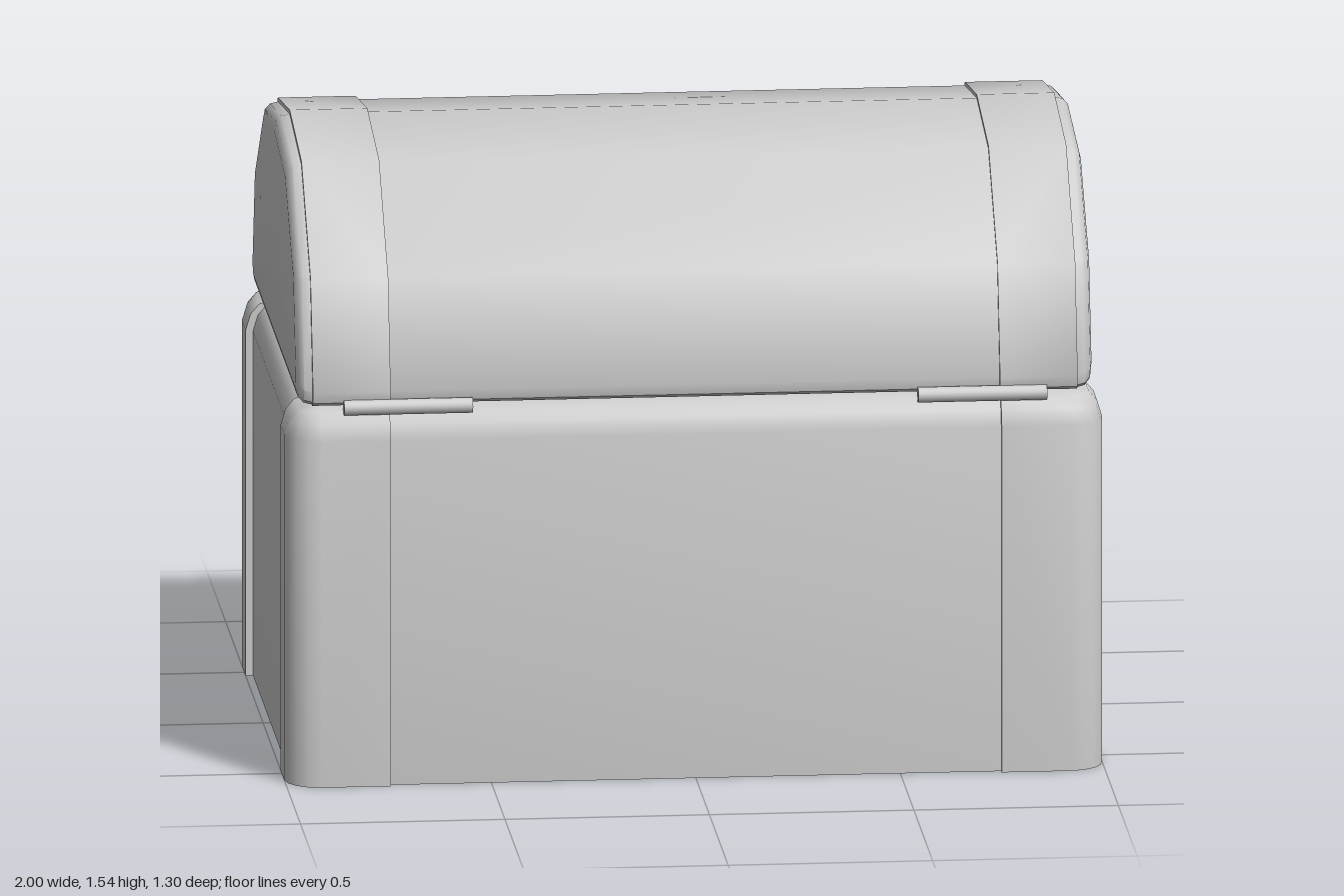
import * as THREE from 'three';
import { toCreasedNormals } from 'three/addons/utils/BufferGeometryUtils.js';

const gray = new THREE.MeshStandardMaterial({ color: 0xcccccc });
gray.name = 'plain gray';

// Closed solid through a row of matching convex rings
function loft(rings, crease = 0.75) {
  const tris = [];
  const n = rings[0].length;
  for (let r = 0; r < rings.length - 1; r++) {
    for (let i = 0; i < n; i++) {
      const j = (i + 1) % n;
      const [a, b, c, d] = [rings[r][i], rings[r][j], rings[r + 1][j], rings[r + 1][i]];
      tris.push([a, b, c], [a, c, d]);
    }
  }
  const cap = (ring, flip) => {
    const mid = ring.reduce((s, p) => s.add(p), new THREE.Vector3()).divideScalar(n);
    for (let i = 0; i < n; i++) {
      const a = ring[i], b = ring[(i + 1) % n];
      tris.push(flip ? [mid, b, a] : [mid, a, b]);
    }
  };
  cap(rings[0], true);
  cap(rings[rings.length - 1], false);
  // Turn the faces outward whichever way the rings run
  const volume = tris.reduce((s, [a, b, c]) => s + a.dot(b.clone().cross(c)), 0);
  const points = tris.flatMap(([a, b, c]) => (volume < 0 ? [a, c, b] : [a, b, c]));
  const geometry = new THREE.BufferGeometry().setFromPoints(points);
  return toCreasedNormals(geometry, crease);
}

// Quarter arc points, from +x to +z
function arc(cx, cz, radius, y, steps = 4) {
  return Array.from({ length: steps + 1 }, (_, i) => {
    const t = (i / steps) * Math.PI / 2;
    return new THREE.Vector3(cx + radius * Math.cos(t), y, cz + radius * Math.sin(t));
  });
}

// Heights and insets of the rounded upper rim
const rim = [[0, 0], [0.865, 0], [0.905, 0.012], [0.93, 0.033], [0.942, 0.075]];

// Box body ring: one rounded corner mirrored into all four
function bodyRing([y, inset]) {
  const corner = arc(0.9, 0.555, 0.082 - inset, y);
  const flip = (p, sx, sz) => new THREE.Vector3(p.x * sx, p.y, p.z * sz);
  const back = [...corner].reverse();
  return [
    ...corner,
    ...back.map((p) => flip(p, -1, 1)),
    ...corner.map((p) => flip(p, -1, -1)),
    ...back.map((p) => flip(p, 1, -1)),
  ];
}

// Corner guard ring: square block with its outer corner rounded
function guardRing([y, inset], sx, sz) {
  const ring = [
    new THREE.Vector3(0.747, y, 0.467),
    new THREE.Vector3(1 - inset, y, 0.467),
    ...arc(0.915, 0.565, 0.085 - inset, y),
    new THREE.Vector3(0.747, y, 0.65 - inset),
  ];
  return ring.map((p) => new THREE.Vector3(p.x * sx, p.y + (y > 0 ? 0.003 : 0), p.z * sz));
}

// Lid section at x, grown or shrunk all round
const lidHalf = [[0.593, 0.948], [0.61, 0.958], [0.617, 0.985], [0.55, 1.255], [0.312, 1.482]];
function lidRing(x, grow = 0) {
  const outline = [
    ...lidHalf,
    [0, 1.53],
    ...[...lidHalf].reverse().map(([z, y]) => [-z, y]),
  ];
  const sz = 1 + grow / 0.617, sy = 1 + grow / 0.31;
  return outline.map(([z, y]) => new THREE.Vector3(x, 1.22 + (y - 1.22) * (y < 1.22 && grow > 0 ? 1 : sy), z * sz));
}

export function createModel() {
  const chest = new THREE.Group();
  chest.name = 'chest';
  const add = (name, geometry) => {
    const mesh = new THREE.Mesh(geometry, gray);
    mesh.name = name;
    chest.add(mesh);
    return mesh;
  };

  add('boxBody', loft(rim.map(bodyRing)));

  // Guards over the four upright corners
  for (const sx of [1, -1]) {
    for (const sz of [1, -1]) {
      add('cornerGuard', loft(rim.map((step) => guardRing(step, sx, sz))));
    }
  }

  // Domed lid with softened ends
  const ends = [[0.973, -0.042], [0.968, -0.02], [0.955, -0.006], [0.93, 0]];
  add('lid', loft([
    ...ends.map(([x, grow]) => lidRing(-x, grow)),
    ...[...ends].reverse().map(([x, grow]) => lidRing(x, grow)),
  ]));

  for (const side of [1, -1]) {
    // Raised band round each end of the lid
    add('lidBand', loft([lidRing(side * 0.745, 0.009), lidRing(side * 0.935, 0.009)]));

    // Hinge pin along the seam
    const hinge = add('hinge', new THREE.CylinderGeometry(0.019, 0.019, 0.315, 16));
    hinge.rotation.z = Math.PI / 2;
    hinge.position.set(side * 0.702, 0.946, 0.62);
  }

  return chest;
}
